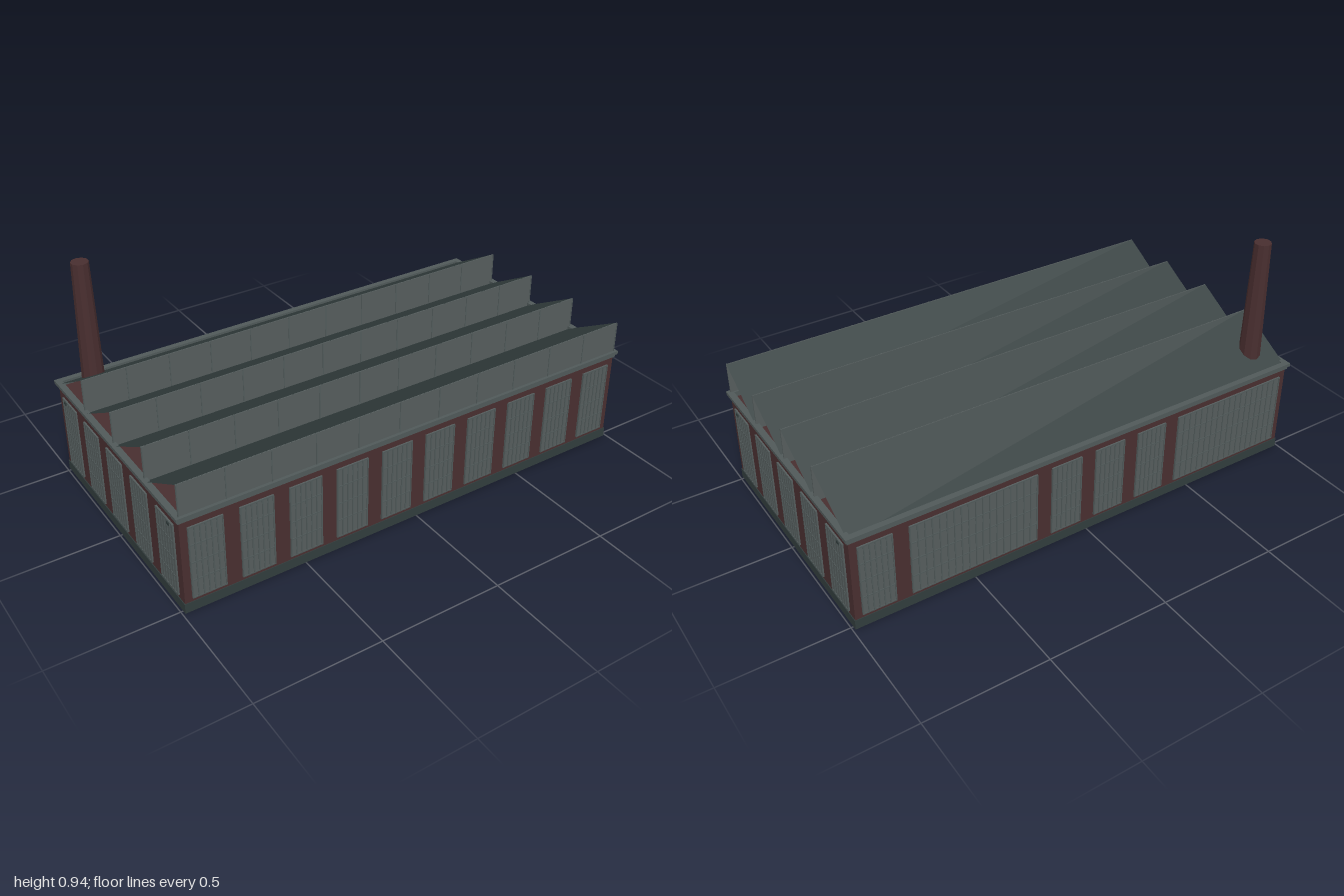
import * as THREE from 'three';

const mat = (name, color, extra = {}) => {
  const m = new THREE.MeshStandardMaterial({ color, ...extra });
  m.name = name;
  return m;
};

export function createModel() {
  const brick = mat('brick', 0x482e2f);
  const slate = mat('slate', 0x313c3c);
  const roofing = mat('roofing', 0x313c3c, { side: THREE.DoubleSide });
  const glass = mat('grey glass', 0x555d5d);
  const trim = mat('grey trim', 0x505959);

  const W = 0.987, D = 0.514; // half width and half depth of the walls
  const model = new THREE.Group();
  model.name = 'factory';

  const box = (parent, name, m, w, h, d, x, y, z) => {
    const mesh = new THREE.Mesh(new THREE.BoxGeometry(w, h, d), m);
    mesh.name = name;
    mesh.position.set(x, y, z);
    parent.add(mesh);
    return mesh;
  };

  // Brick body on a slightly proud plinth
  box(model, 'walls', brick, 2 * W, 0.355, 2 * D, 0, 0.2175, 0);
  box(model, 'plinth', slate, 2 * W + 0.006, 0.04, 2 * D + 0.006, 0, 0.02, 0);

  // Stepped cornice: a frame around the top of the walls
  const cornice = new THREE.Group();
  cornice.name = 'cornice';
  model.add(cornice);
  const frame = (out, inX, inZ, y0, y1) => {
    const h = y1 - y0, y = (y0 + y1) / 2, x = W + out, z = D + out;
    for (const s of [-1, 1]) {
      box(cornice, 'corniceLong', trim, 2 * x, h, z - inZ, 0, y, s * (z + inZ) / 2);
      box(cornice, 'corniceShort', trim, x - inX, h, 2 * inZ, s * (x + inX) / 2, y, 0);
    }
  };
  frame(0.006, 0.975, 0.503, 0.389, 0.402);
  frame(0.013, 0.975, 0.503, 0.402, 0.416);

  // Window: pane with glazing bars, built facing +z
  const Y0 = 0.055, Y1 = 0.36, H = Y1 - Y0, YC = (Y0 + Y1) / 2;
  const makeWindow = (width, panes) => {
    const g = new THREE.Group();
    g.name = 'window';
    box(g, 'pane', glass, width, H, 0.004, 0, YC, 0.002);
    for (let i = 0; i <= panes; i++) {
      const x = (i / panes - 0.5) * (width - 0.005);
      box(g, 'upright', trim, 0.005, H, 0.004, x, YC, 0.005);
    }
    for (let j = 0; j <= 4; j++) {
      const y = Y0 + 0.0025 + (j / 4) * (H - 0.005);
      box(g, 'crossbar', trim, width, 0.005, 0.003, 0, y, 0.005);
    }
    return g;
  };
  const place = (win, x, z, turn) => {
    win.position.set(x, 0, z);
    win.rotation.y = turn;
    model.add(win);
  };
  const bayX = i => 0.891 - i * 0.198;

  // Front row
  for (let i = 0; i < 10; i++) place(makeWindow(0.135, 6), bayX(i), D, 0);

  // Back row: single windows and two wide runs of three bays
  for (const i of [0, 4, 5, 6]) place(makeWindow(0.135, 6), bayX(i), -D, Math.PI);
  for (const i of [2, 8]) place(makeWindow(0.531, 18), bayX(i), -D, Math.PI);

  // Side rows, with a small vent in each end window
  for (const s of [-1, 1]) {
    for (let i = -2; i <= 2; i++) {
      place(makeWindow(0.13, 6), s * W, i * 0.2055, s * Math.PI / 2);
    }
    for (const t of [-1, 1]) {
      box(model, 'vent', slate, 0.009, 0.012, 0.017, s * (W + 0.005), 0.349, t * 0.446);
    }
  }

  // Sawtooth roof: upright glazing facing front, slope falling to the back
  const bay = 0.257, low = 0.4, high = 0.545;
  for (let i = 0; i < 4; i++) {
    const z = D - i * bay;
    const tooth = new THREE.Group();
    tooth.name = 'sawtooth';
    tooth.position.z = z;
    model.add(tooth);
    box(tooth, 'roofGlazing', glass, 2 * W, high - 0.392, 0.004, 0, (high + 0.392) / 2, -0.001);
    for (let k = 0; k <= 11; k++) {
      const x = (k / 11 - 0.5) * (2 * W - 0.004);
      box(tooth, 'roofGlazingBar', trim, 0.004, high - 0.392, 0.002, x, (high + 0.392) / 2, 0.002);
    }
    const drop = high - low;
    const slope = new THREE.Mesh(new THREE.PlaneGeometry(2 * W, Math.hypot(bay, drop)), roofing);
    slope.name = 'roofSlope';
    slope.position.set(0, (high + low) / 2 + 0.0005, -bay / 2);
    slope.rotation.x = -Math.PI / 2 - Math.atan2(drop, bay);
    tooth.add(slope);
  }

  // Tapered chimney, faceted
  const stackGeo = new THREE.CylinderGeometry(0.034, 0.0535, 0.945, 10).toNonIndexed();
  stackGeo.computeVertexNormals();
  const chimney = new THREE.Mesh(stackGeo, brick);
  chimney.name = 'chimney';
  chimney.position.set(-0.882, 0.4725, -0.407);
  model.add(chimney);

  return model;
}
